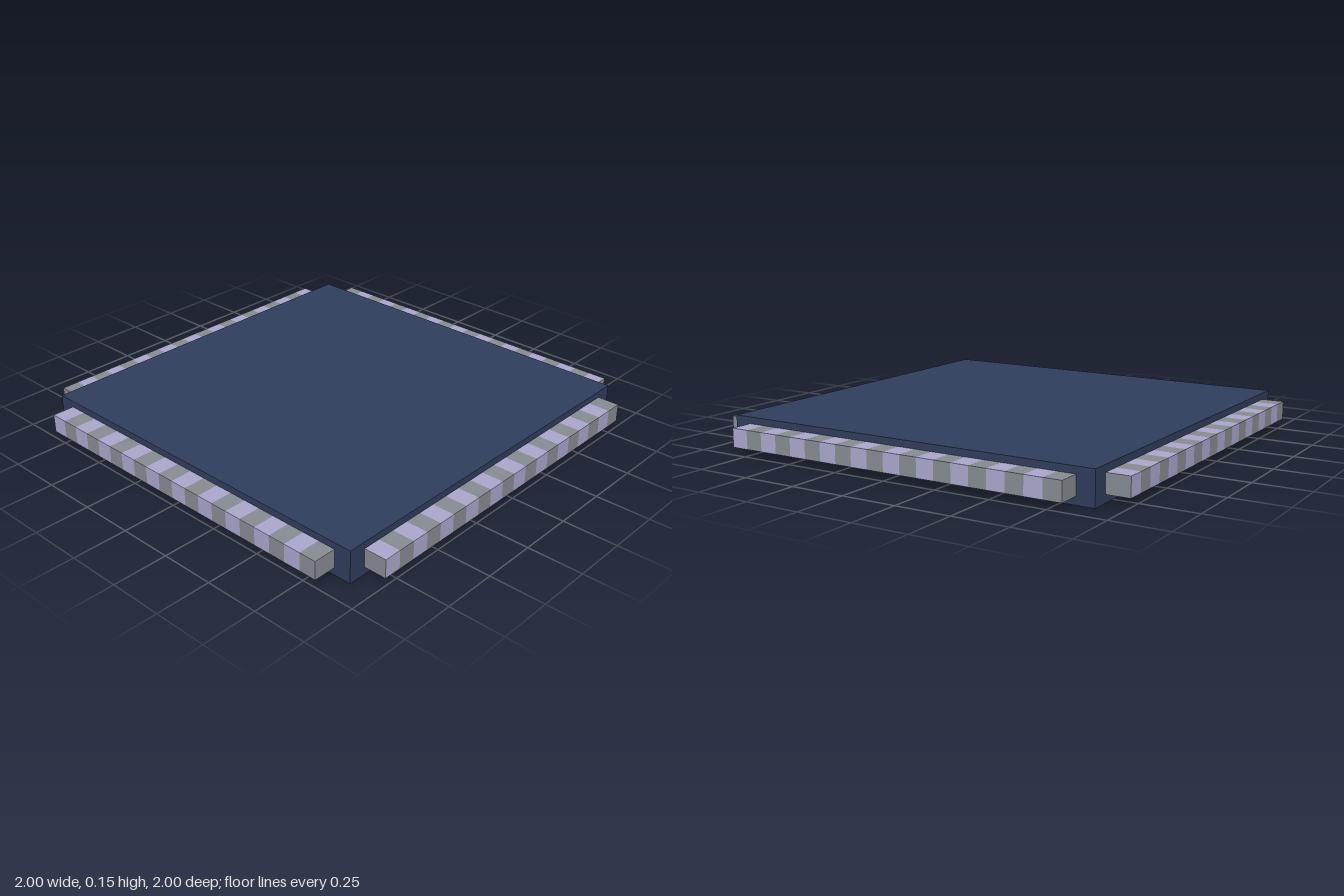
import * as THREE from 'three';

const SLAB = 1.79, HEIGHT = 0.15;      // main body
const STRIP = 1.63, STRIPES = 20;      // striped edge strips
const STRIP_Y = 0.077, STRIP_H = 0.085, INNER = 0.88, OUTER = 1;

export function createModel() {
  const model = new THREE.Group();
  model.name = 'chip';
  const navy = new THREE.MeshStandardMaterial({ color: 0x2f3c5c });
  const lavender = new THREE.MeshStandardMaterial({ color: 0xa9a6cc });
  const grey = new THREE.MeshStandardMaterial({ color: 0x868b92 });

  // Flat square body
  const body = new THREE.Mesh(new THREE.BoxGeometry(SLAB, HEIGHT, SLAB), navy);
  body.name = 'body';
  body.position.y = HEIGHT / 2;
  model.add(body);

  // One strip of alternating contacts per side, turned about the centre
  const width = STRIP / STRIPES;
  const contactGeometry = new THREE.BoxGeometry(width, STRIP_H, OUTER - INNER);
  const lavenderFaces = [grey, grey, lavender, lavender, lavender, lavender]; // grey ends
  ['front', 'left', 'back', 'right'].forEach((side, turn) => {
    const strip = new THREE.Group();
    strip.name = side + 'ContactStrip';
    for (let i = 0; i < STRIPES; i++) {
      const contact = new THREE.Mesh(contactGeometry, i % 2 ? grey : lavenderFaces);
      contact.name = i % 2 ? 'greyContact' : 'lavenderContact';
      contact.position.set(-STRIP / 2 + (i + 0.5) * width, STRIP_Y, (INNER + OUTER) / 2);
      strip.add(contact);
    }
    strip.rotation.y = turn * Math.PI / 2;
    model.add(strip);
  });
  return model;
}
